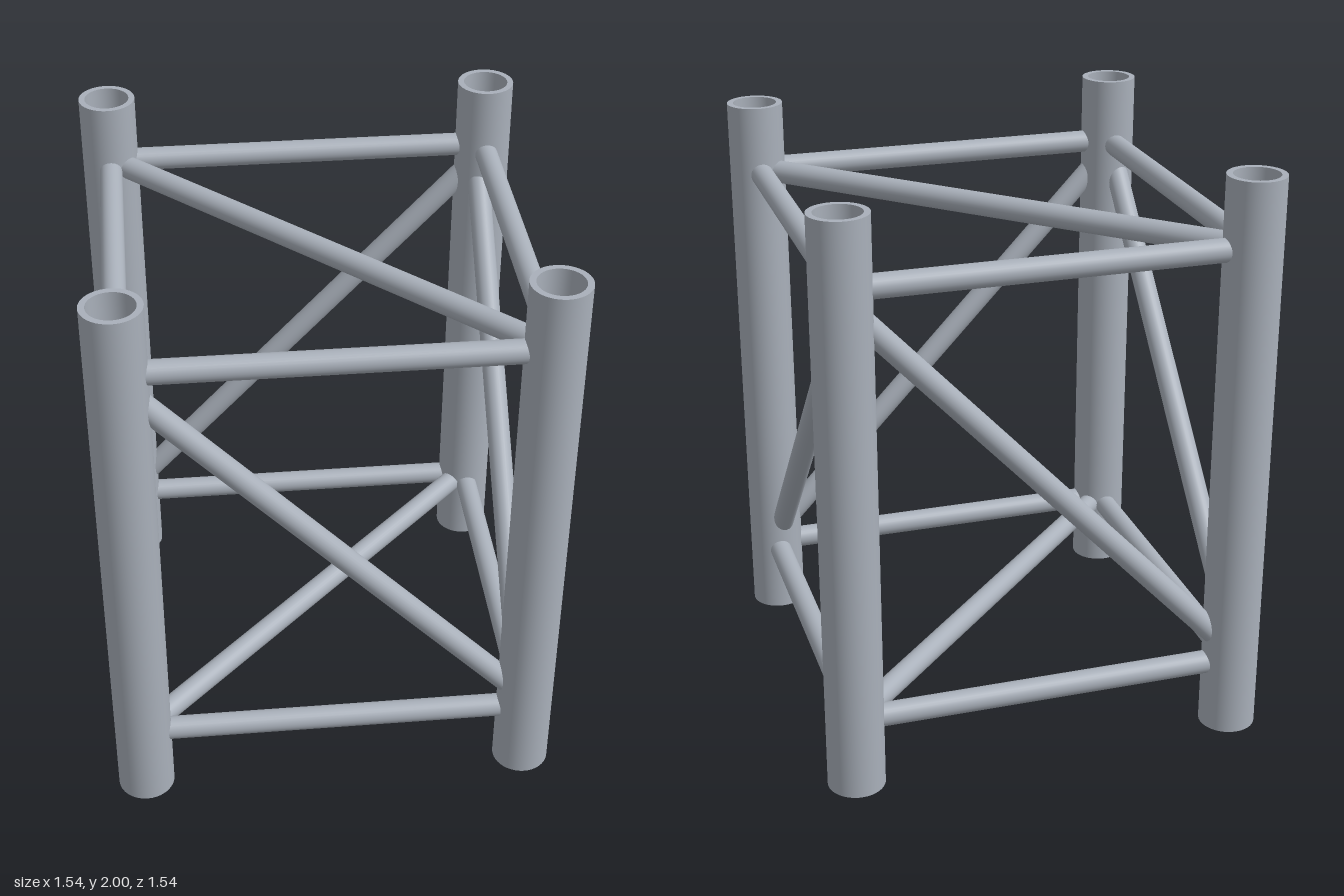
import * as THREE from 'three';
import { mergeGeometries } from 'three/addons/utils/BufferGeometryUtils.js';

const C = 0.673;            // column axis distance from the centre
const R_OUT = 0.098, R_IN = 0.077, HEIGHT = 2;
const R_BRACE = 0.04;
const LOW = 0.245, HIGH = 1.757;

const steel = new THREE.MeshStandardMaterial({ color: 0xa9b0ba });
steel.name = 'steel grey';

// Open pipe: every side of the wall section is its own lathe, so the rims stay sharp
function pipeGeometry() {
  const section = [[R_IN, 0], [R_OUT, 0], [R_OUT, HEIGHT], [R_IN, HEIGHT]]
    .map(([x, y]) => new THREE.Vector2(x, y));
  return mergeGeometries(section.map((p, i) =>
    new THREE.LatheGeometry([p, section[(i + 1) % 4]], 40)));
}

// Round bar between two points
function bar(name, from, to) {
  const a = new THREE.Vector3(...from), b = new THREE.Vector3(...to);
  const dir = b.clone().sub(a);
  const mesh = new THREE.Mesh(
    new THREE.CylinderGeometry(R_BRACE, R_BRACE, dir.length(), 28), steel);
  mesh.position.copy(a).add(b).multiplyScalar(0.5);
  mesh.quaternion.setFromUnitVectors(new THREE.Vector3(0, 1, 0), dir.normalize());
  mesh.name = name;
  return mesh;
}

export function createModel() {
  const model = new THREE.Group();
  model.name = 'trussTower';

  // Four corner columns
  const pipe = pipeGeometry();
  for (const x of [-C, C]) for (const z of [-C, C]) {
    const column = new THREE.Mesh(pipe, steel);
    column.name = 'column';
    column.position.set(x, 0, z);
    model.add(column);
  }

  // Square rings of horizontal bars, overlapping at the corners
  const E = C + R_BRACE;
  for (const y of [LOW, HIGH]) for (const s of [-C, C]) {
    model.add(bar('horizontalBar', [-E, y, s], [E, y, s]));
    model.add(bar('horizontalBar', [s, y, -E], [s, y, E]));
  }

  // One diagonal on each side; the side pair sits slightly off the column axes
  const D = 0.655, TOP = 1.695, BOTTOM = 0.305, SHIFT = -0.018;
  for (const s of [-1, 1]) {
    model.add(bar('sideDiagonal', [-s * D, TOP, s * C], [s * D, BOTTOM, s * C]));
    model.add(bar('sideDiagonal',
      [s * C + SHIFT, TOP, -s * D], [s * C + SHIFT, BOTTOM, s * D]));
  }

  // Crossing diagonals in the top and bottom rings
  model.add(bar('topDiagonal', [-C, HIGH, -C], [C, HIGH, C]));
  model.add(bar('bottomDiagonal', [-C, LOW, C], [C, LOW, -C]));

  return model;
}
